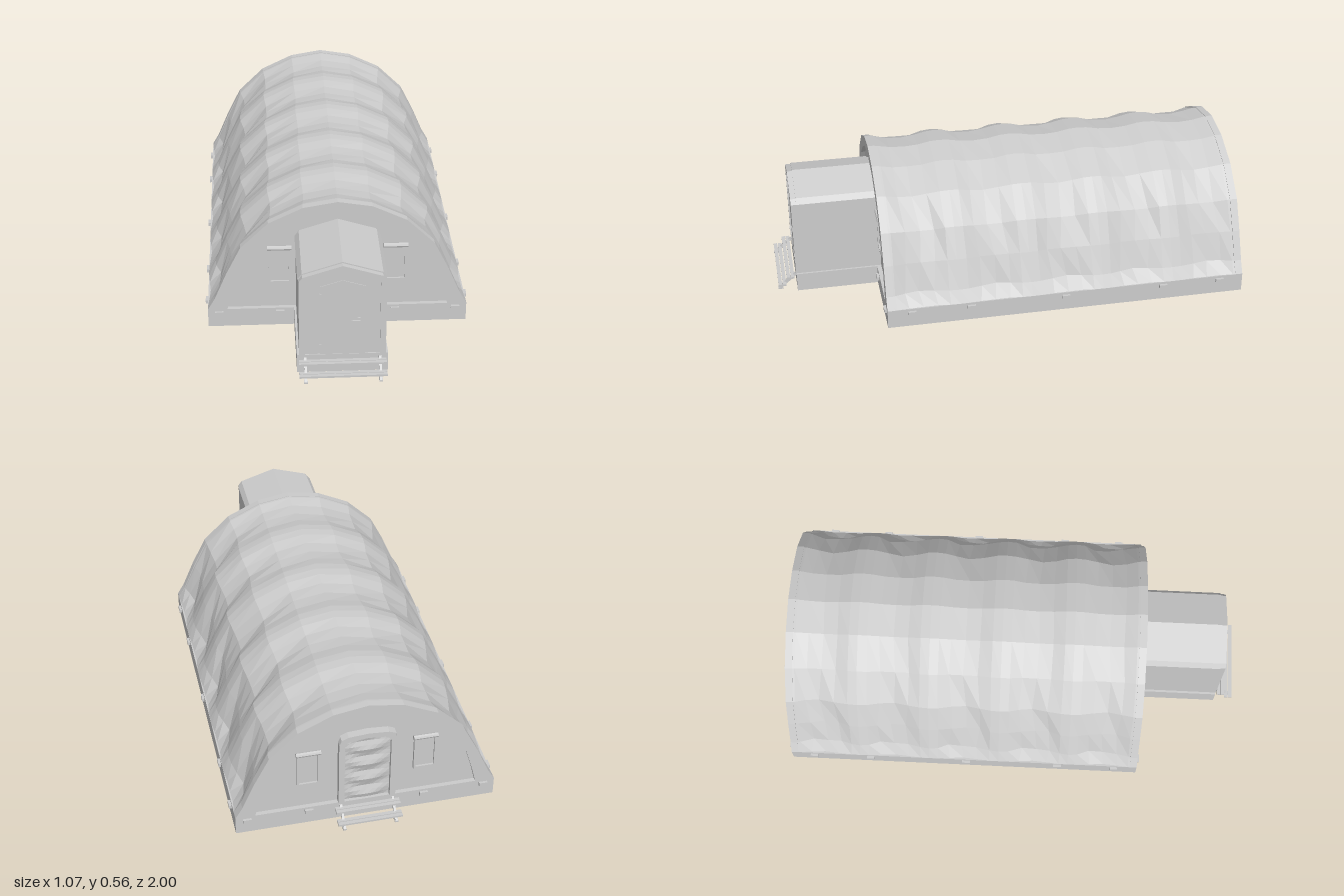
import * as THREE from 'three';

const mat = new THREE.MeshStandardMaterial({ color: 0xcccccc, flatShading: true, side: THREE.DoubleSide });
const Z0 = 0.58, Z1 = -0.92, MID = -0.17, FLOOR = 0.08;

// Half outlines of the arch, foot to crown
const OUTER = [[0.526, 0.08], [0.497, 0.13], [0.448, 0.245], [0.388, 0.365], [0.276, 0.474], [0.138, 0.54], [0, 0.563]];
const INNER = [[0.447, 0.08], [0.43, 0.15], [0.4, 0.25], [0.325, 0.365], [0.24, 0.437], [0.138, 0.494], [0, 0.517]];
const mirrorX = (half) => [...half, ...half.slice(0, -1).reverse().map(([x, y]) => [-x, y])];
const toShape = (pts) => new THREE.Shape(pts.map(([x, y]) => new THREE.Vector2(x, y)));

function add(parent, name, geometry, x = 0, y = 0, z = 0) {
  const mesh = new THREE.Mesh(geometry, mat);
  mesh.name = name;
  mesh.position.set(x, y, z);
  parent.add(mesh);
  return mesh;
}
const box = (parent, name, w, h, d, x, y, z) => add(parent, name, new THREE.BoxGeometry(w, h, d), x, y, z);
const extrude = (parent, name, shape, depth, z) =>
  add(parent, name, new THREE.ExtrudeGeometry(shape, { depth, bevelEnabled: false }), 0, 0, z);

// Flat ring: outer outline joined to a smaller one, both open at the floor
const band = (outer, inner) => toShape([...outer, ...[...inner].reverse()]);

// Cloth cover: arch sections that sag between the ribs, with slight folds low on the sides
function canopyGeometry() {
  const arch = mirrorX(OUTER), bays = 5, pitch = (Z0 - Z1) / bays;
  const steps = [[0, 0], [0.13, 0.15], [0.3, 0.75], [0.5, 1], [0.7, 0.75], [0.87, 0.15]];
  const stations = [];
  for (let b = 0; b < bays; b++) for (const [t, s] of steps) stations.push([Z0 - (b + t) * pitch, s, b]);
  stations.push([Z1, 0, bays]);
  const pos = [], index = [], n = arch.length;
  stations.forEach(([z, sag, bay], i) => arch.forEach(([x, y], j) => {
    const low = Math.min(1, Math.abs(x) / 0.39);
    const foot = j === 0 || j === n - 1 ? 0.3 : 1;
    const fold = 0.007 * low * Math.sin(j * 2.3 + i * 1.9 + bay);
    const d = sag * foot * (0.017 + 0.008 * low + fold);
    const len = Math.hypot(x, y - 0.05);
    const shift = foot * sag * low * 0.014 * Math.sin(j * 1.7 + bay * 2.1);
    pos.push(x - (d * x) / len, Math.max(FLOOR, y - (d * (y - 0.05)) / len), z + shift);
    if (i && j) {
      const a = (i - 1) * n + j - 1, c = i * n + j - 1;
      index.push(a, c, a + 1, a + 1, c, c + 1);
    }
  }));
  const g = new THREE.BufferGeometry();
  g.setAttribute('position', new THREE.Float32BufferAttribute(pos, 3));
  g.setIndex(index);
  g.computeVertexNormals();
  return g;
}

// End wall, its arched rim and two windows; built facing +z with the rim front at z = 0
function endWall(name) {
  const g = new THREE.Group();
  g.name = name;
  extrude(g, 'archRim', band(mirrorX(OUTER), mirrorX(INNER)), 0.03, -0.03);
  extrude(g, 'wall', toShape(mirrorX(INNER)), 0.012, -0.03);
  for (const s of [-1, 1]) {
    const x = s * 0.233;
    const frame = toShape([[-0.045, 0.195], [0.045, 0.195], [0.045, 0.36], [-0.045, 0.36]]);
    frame.holes.push(new THREE.Path([[-0.037, 0.203], [-0.037, 0.35], [0.037, 0.35], [0.037, 0.203]].map((p) => new THREE.Vector2(...p))));
    extrude(g, 'windowFrame', frame, 0.012, -0.018).position.x = x;
    box(g, 'windowPane', 0.076, 0.15, 0.004, x, 0.277, -0.016);
    const roll = add(g, 'windowRoll', new THREE.CylinderGeometry(0.01, 0.01, 0.098, 8), x, 0.356, -0.008);
    roll.rotation.z = Math.PI / 2;
    for (const cx of [0.233, 0.48]) box(g, 'baseClip', 0.034, 0.015, 0.012, s * cx, 0.063, 0.004);
  }
  return g;
}

// Two treads on slanting stringers, descending toward +z from z = 0
function makeSteps(name, half) {
  const g = new THREE.Group();
  g.name = name;
  for (const [y, z] of [[0.06, 0.024], [0.028, 0.06]]) {
    for (const dz of [-0.009, 0.009]) box(g, 'treadPlank', half * 2, 0.008, 0.015, 0, y, z + dz);
  }
  for (const s of [-1, 1]) {
    const rail = box(g, 'stringer', 0.01, 0.012, 0.098, s * (half - 0.025), 0.035, 0.037);
    rail.rotation.x = 0.72;
    box(g, 'stepFoot', 0.014, 0.006, 0.022, s * (half - 0.025), 0.003, 0.067);
  }
  return g;
}

// Gabled entrance with a framed, panelled door
function makePorch() {
  const g = new THREE.Group();
  g.name = 'entrancePorch';
  const body = mirrorX([[0.168, FLOOR], [0.168, 0.41], [0.153, 0.43], [0, 0.478]]);
  const inset = mirrorX([[0.145, FLOOR], [0.145, 0.4], [0.135, 0.412], [0, 0.455]]);
  const door = mirrorX([[0.087, FLOOR], [0.087, 0.385], [0, 0.412]]);
  extrude(g, 'porchBody', toShape(body), 0.36, 0.55);
  extrude(g, 'porchFrontFrame', band(body, inset), 0.012, 0.91);
  extrude(g, 'porchFrontPanel', toShape(inset), 0.005, 0.91);
  extrude(g, 'frontDoor', toShape(door), 0.006, 0.912);
  const roof = mirrorX([[0.172, 0.412], [0.155, 0.434], [0, 0.483]]);
  const under = mirrorX([[0.166, 0.41], [0.151, 0.428], [0, 0.475]]);
  extrude(g, 'porchRoof', band(roof, under), 0.325, 0.575);
  box(g, 'doorHandlePlate', 0.012, 0.024, 0.004, 0.062, 0.233, 0.92);
  box(g, 'doorHandle', 0.034, 0.006, 0.006, 0.05, 0.233, 0.927);
  for (const y of [0.11, 0.34]) box(g, 'doorHinge', 0.007, 0.03, 0.008, -0.085, y, 0.919);
  return g;
}

// Back doorway: rounded frame, hood and rippled curtain, built facing +z
function makeBackDoor() {
  const g = new THREE.Group();
  g.name = 'backDoor';
  const arch = (w, top, r) => mirrorX([[w, FLOOR], [w, top - r], [w - r * 0.3, top - r * 0.3], [w - r, top], [0, top + 0.006]]);
  extrude(g, 'backDoorFrame', band(arch(0.115, 0.42, 0.035), arch(0.092, 0.398, 0.025)), 0.026, -0.02);
  extrude(g, 'backDoorHood', band(arch(0.12, 0.428, 0.04).slice(2, -2), arch(0.113, 0.416, 0.035).slice(2, -2)), 0.034, -0.02);
  const cloth = new THREE.PlaneGeometry(0.186, 0.312, 8, 16);
  const p = cloth.attributes.position;
  for (let i = 0; i < p.count; i++) {
    const droop = p.getY(i) + 0.9 * p.getX(i) ** 2 * -4;
    p.setZ(i, 0.006 * Math.sin(droop * 80) * Math.cos(p.getX(i) * 15));
  }
  cloth.computeVertexNormals();
  add(g, 'backDoorCurtain', cloth, 0, 0.238, -0.009);
  return g;
}

export function createModel() {
  const model = new THREE.Group();
  model.name = 'shelter';

  // Plinth
  box(model, 'mainBase', 1.052, FLOOR, Z0 - Z1, 0, FLOOR / 2, MID);
  box(model, 'porchBase', 0.354, FLOOR, 0.36, 0, FLOOR / 2, 0.74);
  for (const s of [-1, 1]) {
    for (const z of [0.48, 0.235, -0.16, -0.575, -0.82]) box(model, 'baseClip', 0.014, 0.015, 0.034, s * 0.53, 0.063, z);
  }

  // Cover
  add(model, 'canopy', canopyGeometry());

  // Front end
  const front = endWall('frontWall');
  front.position.z = Z0;
  const frontSteps = makeSteps('frontSteps', 0.17);
  frontSteps.position.z = 0.922;
  model.add(front, makePorch(), frontSteps);

  // Back end
  const back = endWall('backWall');
  back.add(makeBackDoor(), makeSteps('backSteps', 0.13));
  back.rotation.y = Math.PI;
  back.position.z = Z1;
  model.add(back);

  return model;
}
